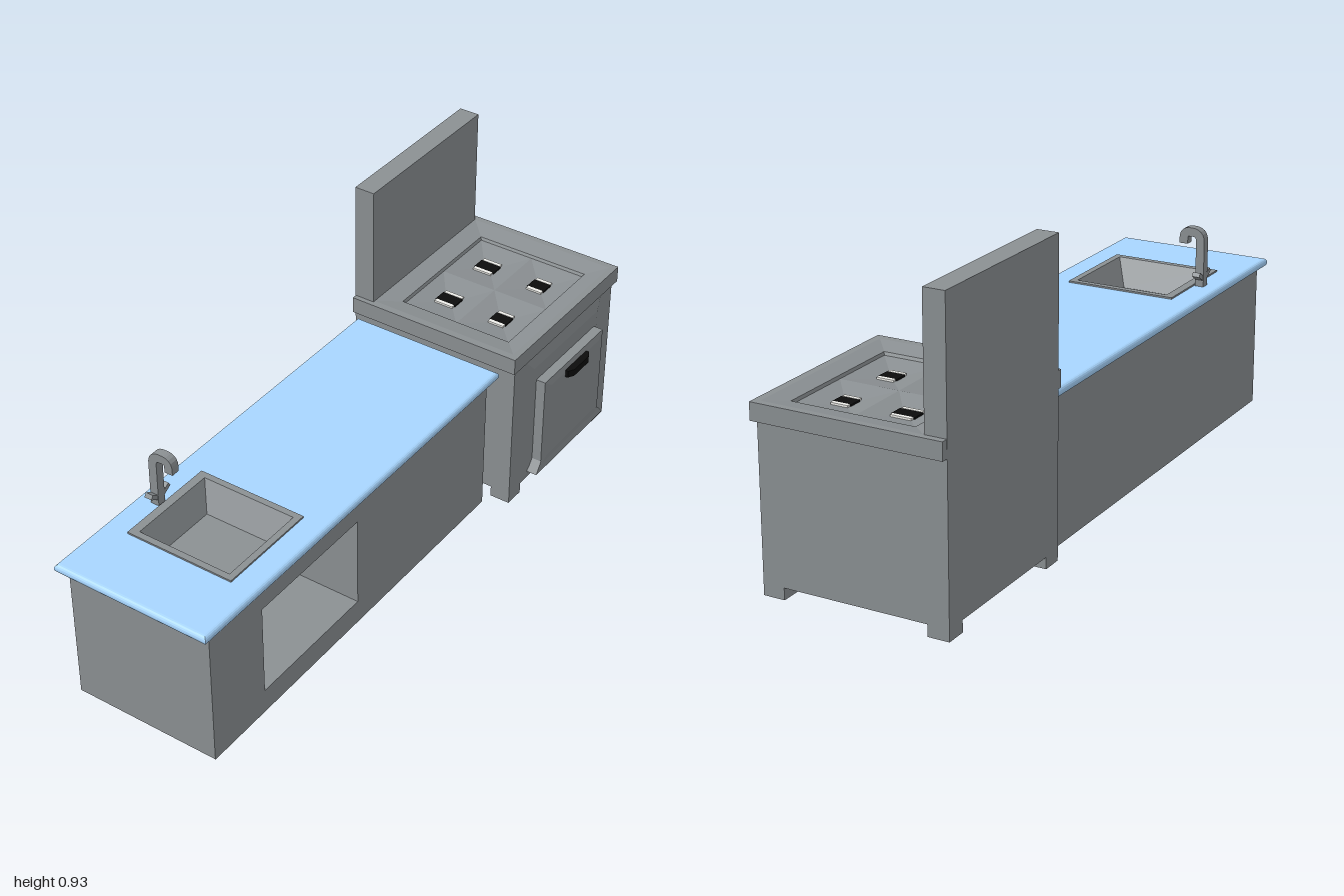
import * as THREE from 'three';

const mat = (color) => new THREE.MeshStandardMaterial({ color, flatShading: true, side: THREE.DoubleSide });

export function createModel() {
  const model = new THREE.Group();
  const grey = mat(0x8b9093);
  const blue = mat(0xa8d6ff);
  const black = mat(0x0c0c0c);
  const light = mat(0xeeeeea);

  const add = (name, geometry, material = grey, parent = model) => {
    const mesh = new THREE.Mesh(geometry, material);
    mesh.name = name;
    parent.add(mesh);
    return mesh;
  };

  // Box given by its limits on each axis
  const box = (name, x0, x1, y0, y1, z0, z1, material, parent) => {
    const mesh = add(name, new THREE.BoxGeometry(x1 - x0, y1 - y0, z1 - z0), material, parent);
    mesh.position.set((x0 + x1) / 2, (y0 + y1) / 2, (z0 + z1) / 2);
    return mesh;
  };

  // Skin over rectangles [a0, a1, b0, b1, h]; axis y: a=x b=z h=y, axis x: a=z b=y h=x
  const rectLoft = (axis, rings, cap = true) => {
    const point = (a, b, h) => (axis === 'y' ? [a, h, b] : [h, b, a]);
    const positions = [];
    const index = [];
    for (const [a0, a1, b0, b1, h] of rings) {
      positions.push(...point(a0, b1, h), ...point(a1, b1, h), ...point(a1, b0, h), ...point(a0, b0, h));
    }
    for (let r = 0; r < rings.length - 1; r++) {
      for (let i = 0; i < 4; i++) {
        const p = r * 4 + i, q = r * 4 + (i + 1) % 4;
        index.push(p, q, q + 4, p, q + 4, p + 4);
      }
    }
    const e = (rings.length - 1) * 4;
    if (cap) index.push(e, e + 1, e + 2, e, e + 2, e + 3);
    let geometry = new THREE.BufferGeometry();
    geometry.setAttribute('position', new THREE.Float32BufferAttribute(positions, 3));
    geometry.setIndex(index);
    geometry = geometry.toNonIndexed();
    geometry.computeVertexNormals();
    return geometry;
  };

  // Cabinet: open-topped carcass with a storage opening on its working side
  const cabinet = new THREE.Group();
  cabinet.name = 'cabinet';
  model.add(cabinet);
  box('cabinetBack', -0.282, -0.27, 0.01, 0.455, -0.363, 0.963, grey, cabinet);
  box('cabinetBottom', -0.27, 0.186, 0.01, 0.02, -0.363, 0.963, grey, cabinet);
  box('cabinetEndNear', -0.27, 0.185, 0.02, 0.455, 0.953, 0.963, grey, cabinet);
  box('cabinetEndFar', -0.27, 0.185, 0.02, 0.455, -0.363, -0.353, grey, cabinet);
  add('cabinetFrontAndOpening', rectLoft('x', [
    [-0.363, 0.963, 0.01, 0.455, 0.186],
    [0.3, 0.74, 0.087, 0.38, 0.186],
    [0.3, 0.72, 0.087, 0.38, -0.26],
  ]), grey, cabinet);

  // Countertop with rounded edges and a cutout for the sink
  const r = 0.0125;
  const rectangle = (path, x0, x1, z0, z1) => path.moveTo(x0, -z0).lineTo(x1, -z0).lineTo(x1, -z1).lineTo(x0, -z1).closePath();
  const slab = rectangle(new THREE.Shape(), -0.30 + r, 0.205 - r, -0.4 + r, 1 - r);
  slab.holes.push(rectangle(new THREE.Path(), -0.2 - r, 0.11 + r, 0.485 - r, 0.775 + r));
  const counterGeometry = new THREE.ExtrudeGeometry(slab, {
    depth: 0.002, bevelEnabled: true, bevelThickness: r, bevelSize: r, bevelSegments: 4,
  });
  counterGeometry.rotateX(-Math.PI / 2);
  add('countertop', counterGeometry, blue).position.y = 0.454 + r;

  // Sink: raised rim and tapered basin
  add('sink', rectLoft('y', [
    [-0.222, 0.126, 0.468, 0.79, 0.479],
    [-0.222, 0.126, 0.468, 0.79, 0.486],
    [-0.196, 0.106, 0.488, 0.77, 0.486],
    [-0.157, 0.063, 0.533, 0.718, 0.405],
  ]));

  // Tap: hooked square spout and two lever handles
  const tap = new THREE.Group();
  tap.name = 'tap';
  tap.position.z = 0.638;
  model.add(tap);
  const v = (x, y) => new THREE.Vector3(x, y, 0);
  const spout = new THREE.CurvePath();
  spout.add(new THREE.LineCurve3(v(-0.239, 0.48), v(-0.239, 0.62)));
  spout.add(new THREE.QuadraticBezierCurve3(v(-0.239, 0.62), v(-0.239, 0.648), v(-0.213, 0.648)));
  spout.add(new THREE.LineCurve3(v(-0.213, 0.648), v(-0.204, 0.648)));
  spout.add(new THREE.QuadraticBezierCurve3(v(-0.204, 0.648), v(-0.184, 0.648), v(-0.184, 0.628)));
  spout.add(new THREE.LineCurve3(v(-0.184, 0.628), v(-0.184, 0.61)));
  const h = 0.0135;
  const section = new THREE.Shape([[-h, -h], [h, -h], [h, h], [-h, h]].map(([x, y]) => new THREE.Vector2(x, y)));
  add('spout', new THREE.ExtrudeGeometry(section, { steps: 40, extrudePath: spout }), grey, tap);
  for (const side of [-1, 1]) {
    const handle = add('tapHandle', new THREE.BoxGeometry(0.024, 0.014, 0.036), grey, tap);
    handle.position.set(-0.239, 0.515, side * 0.022);
    handle.rotation.x = -side * 0.55;
  }

  // Stove body, feet and backsplash
  box('stoveBody', -0.317, 0.25, 0.035, 0.495, -0.98, -0.413);
  for (const x of [-0.317, 0.185]) {
    for (const z of [-0.98, -0.478]) box('stoveFoot', x, x + 0.065, 0, 0.035, z, z + 0.065);
  }
  box('backsplash', -0.317, -0.252, 0.49, 0.925, -0.98, -0.413);

  // Stove top: overhanging slab that slopes down to a sunken hob
  add('stoveTop', rectLoft('y', [
    [-0.3, 0.24, -0.97, -0.42, 0.494],
    [-0.316, 0.258, -1, -0.397, 0.494],
    [-0.316, 0.258, -1, -0.397, 0.546],
    [-0.25, 0.237, -0.98, -0.42, 0.546],
    [-0.19, 0.185, -0.92, -0.48, 0.535],
    [-0.186, 0.182, -0.916, -0.484, 0.526],
  ], false));

  // Four dished hob fields, each with a burner
  for (const [x0, x1, cx, w] of [[-0.186, -0.002, -0.096, 0.035], [-0.002, 0.182, 0.09, 0.029]]) {
    for (const [z0, z1, cz] of [[-0.916, -0.7, -0.81], [-0.7, -0.484, -0.592]]) {
      add('hobField', rectLoft('y', [
        [x0, x1, z0, z1, 0.526],
        [cx - w, cx + w, cz - 0.034, cz + 0.034, 0.513],
      ]));
      box('burner', cx - w, cx + w, 0.51, 0.518, cz - 0.021, cz + 0.021, black);
      for (const s of [-1, 1]) {
        const z = cz + s * 0.027;
        box('burnerTrim', cx - w * 0.9, cx + w * 0.9, 0.51, 0.519, z - 0.006, z + 0.006, light);
      }
    }
  }

  // Oven: bevelled surround, door with flared lower lip, handle
  add('ovenSurround', rectLoft('x', [
    [-0.915, -0.475, 0.036, 0.49, 0.25],
    [-0.88, -0.51, 0.07, 0.45, 0.26],
  ]));
  add('ovenDoor', rectLoft('x', [
    [-0.865, -0.525, 0.09, 0.402, 0.255],
    [-0.865, -0.525, 0.09, 0.402, 0.291],
    [-0.835, -0.555, 0.12, 0.38, 0.296],
  ]));
  const lip = new THREE.Shape([[-0.9, 0.07], [-0.5, 0.07], [-0.525, 0.107], [-0.865, 0.107]]
    .map(([z, y]) => new THREE.Vector2(-z, y)));
  const lipMesh = add('ovenDoorLip', new THREE.ExtrudeGeometry(lip, { depth: 0.034, bevelEnabled: false }));
  lipMesh.rotation.y = Math.PI / 2;
  lipMesh.position.x = 0.258;
  add('ovenHandle', rectLoft('x', [
    [-0.76, -0.636, 0.362, 0.385, 0.29],
    [-0.76, -0.636, 0.362, 0.385, 0.305],
    [-0.74, -0.656, 0.362, 0.385, 0.316],
  ]), black);

  return model;
}
